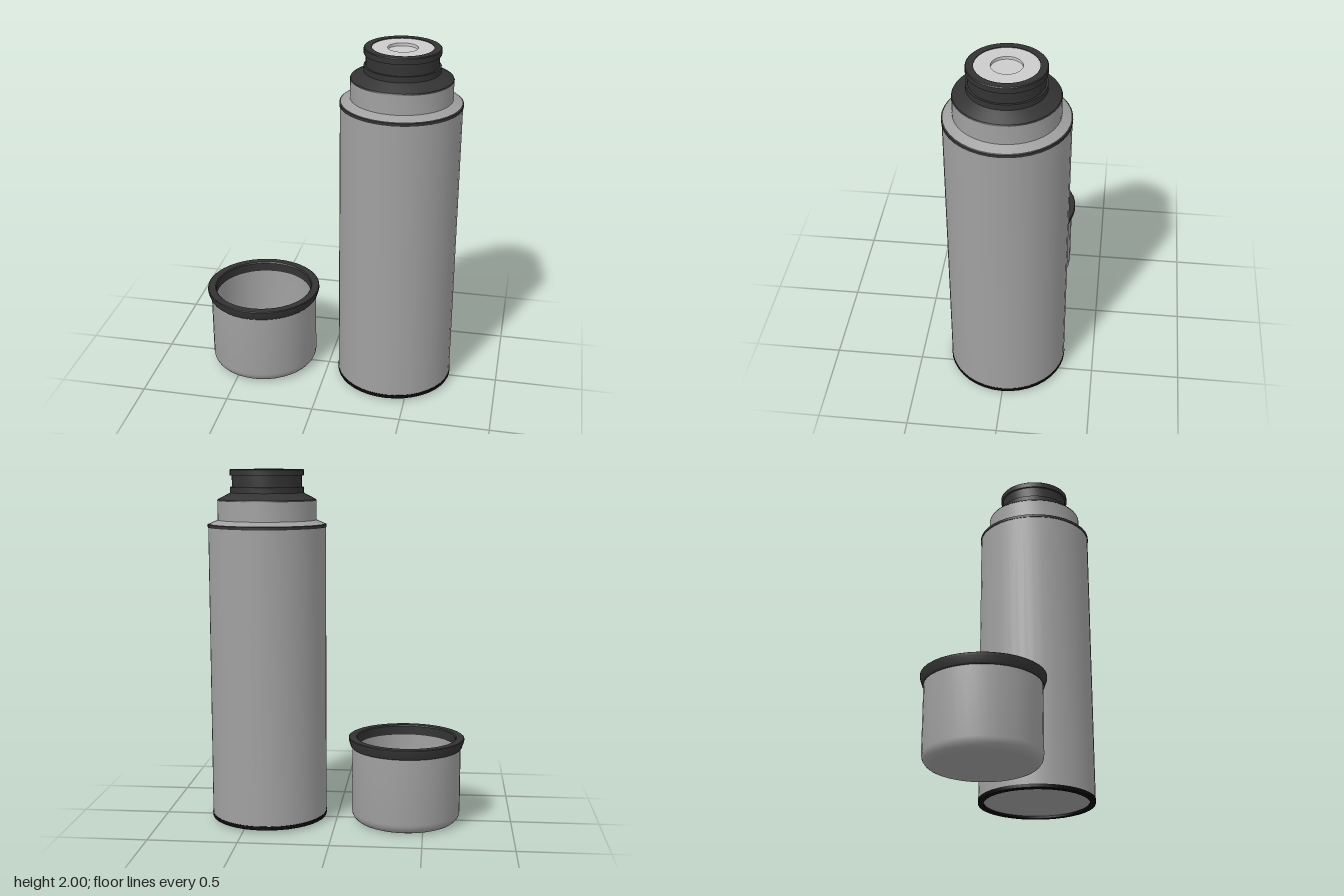
import * as THREE from 'three';
import { toCreasedNormals } from 'three/addons/utils/BufferGeometryUtils.js';

const SEGMENTS = 40;
const material = (color) => new THREE.MeshStandardMaterial({ color });
const steel = material(0xa0a0a0);
const plastic = material(0x333333);
const rubber = material(0x0c0c0c);
const silver = material(0xcccccc);

// Turned part from [radius, height] pairs, listed up the outside and down the inside
function turned(name, mat, profile) {
  const points = profile.map(([r, y]) => new THREE.Vector2(r, y));
  const mesh = new THREE.Mesh(toCreasedNormals(new THREE.LatheGeometry(points, SEGMENTS), 0.35), mat);
  mesh.name = name;
  return mesh;
}

// Quarter-round profile points around (cx, cy), from angle a to angle b in degrees
function arc(cx, cy, radius, a, b, steps = 6) {
  return Array.from({ length: steps + 1 }, (_, i) => {
    const t = THREE.MathUtils.degToRad(a + ((b - a) * i) / steps);
    return [cx + radius * Math.cos(t), cy + radius * Math.sin(t)];
  });
}

function createBottle() {
  const bottle = new THREE.Group();
  bottle.name = 'bottle';
  bottle.add(
    // Base ring with a slightly recessed steel underside
    turned('baseRing', rubber, [[0.3, 0.037], [0.3, 0.015], [0.33, 0.015], [0.332, 0.02], [0.332, 0.037], [0.3, 0.037]]),
    turned('bodyBottom', steel, [[0, 0.028], [0.302, 0.028]]),
    turned('body', steel, [[0.3, 0.037], [0.33, 0.037], [0.33, 1.68]]),
    turned('shoulderRing', plastic, [[0.32, 1.68], [0.333, 1.68], [0.333, 1.696], [0.325, 1.7]]),
    // Sloped shoulder and straight steel neck
    turned('shoulder', steel, [[0.327, 1.698], [0.277, 1.72], [0.277, 1.828], [0.27, 1.828]]),
    // Plastic collar, pouring neck and stopper
    turned('collar', plastic, [[0.27, 1.826], [0.278, 1.826], [0.274, 1.834], [0.21, 1.868], [0.206, 1.87],
      [0.206, 1.902], [0.195, 1.902], [0.195, 1.966]]),
    turned('stopperRim', plastic, [[0.195, 1.966], [0.206, 1.966], [0.206, 1.996], [0.202, 2], [0.165, 2], [0.165, 1.99]]),
    // Silver plate with a shallow dimple
    turned('stopperPlate', silver, [[0.166, 1.996], [0.081, 1.996], [0.081, 1.98], [0, 1.98]])
  );
  bottle.position.x = 0.394;
  return bottle;
}

function createCup() {
  const cup = new THREE.Group();
  cup.name = 'cup';
  cup.add(
    turned('cupShell', steel, [
      [0, 0], ...arc(0.25, 0.06, 0.06, -90, 0), [0.31, 0.435],
      [0.285, 0.435], ...arc(0.235, 0.07, 0.05, 0, -90), [0, 0.02]
    ]),
    // Flared drinking rim
    turned('cupRim', plastic, [[0.285, 0.432], [0.312, 0.432], [0.318, 0.438], [0.33, 0.475], [0.33, 0.487],
      [0.326, 0.49], [0.286, 0.49], [0.28, 0.484], [0.28, 0.432], [0.285, 0.432]])
  );
  cup.position.x = -0.397;
  return cup;
}

export function createModel() {
  const model = new THREE.Group();
  model.name = 'vacuumFlask';
  model.add(createBottle(), createCup());
  return model;
}
